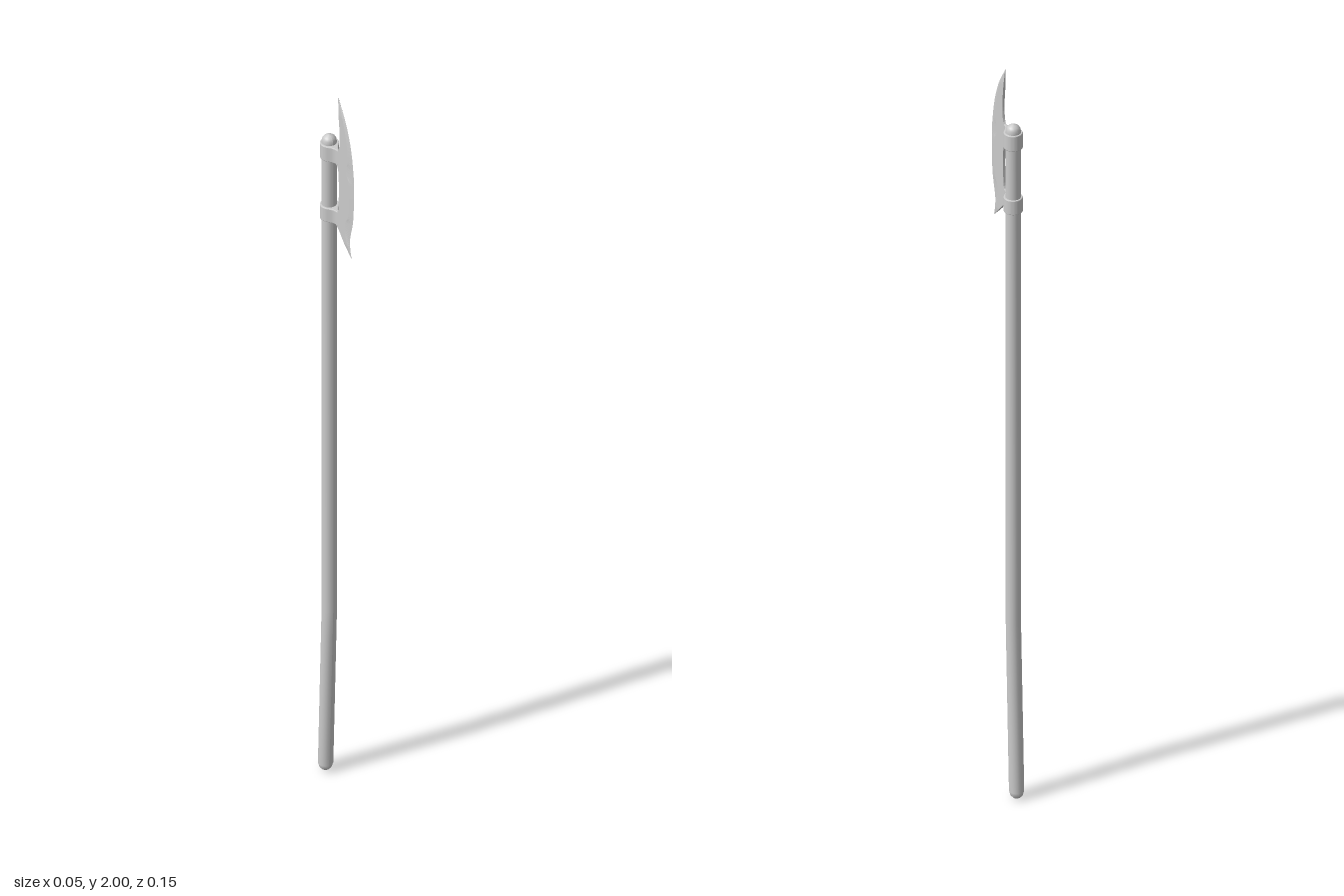
import * as THREE from 'three';

const AXIS_Z = -0.04; // centre line of the straight part of the shaft

function part(name, geometry, options = {}) {
  const mesh = new THREE.Mesh(geometry, new THREE.MeshStandardMaterial({ color: 0xcccccc, ...options }));
  mesh.name = name;
  return mesh;
}

// Round shaft with domed ends; the lowest stretch bends backwards
function createShaft() {
  const r = 0.0188;
  const profile = [
    [0, 0], [0.009, 0.002], [0.015, 0.008], [r, 0.02], [r, 0.15], [r, 0.3], [r, 0.4], [r, 0.48],
    [r, 1], [r, 1.847], [0.0175, 1.857], [0.014, 1.863], [0.008, 1.867], [0, 1.869],
  ].map(([x, y]) => new THREE.Vector2(x, y));
  const geometry = new THREE.LatheGeometry(profile, 20);
  const pos = geometry.attributes.position;
  for (let i = 0; i < pos.count; i++) {
    const bend = Math.max(0, (0.48 - pos.getY(i)) / 0.48);
    pos.setZ(i, pos.getZ(i) + AXIS_Z - 0.018 * bend);
  }
  geometry.computeVertexNormals();
  return part('shaft', geometry);
}

// Teardrop band round the shaft, pinched in front to hold the blade
function createCollar(name, bottom, height) {
  const bevel = 0.002, r = 0.0215, c = -AXIS_Z - 0.001;
  const shape = new THREE.Shape();
  // shape y runs towards the back
  shape.moveTo(0.0015, -0.002);
  shape.bezierCurveTo(0.003, 0.014, 0.012, 0.018, r * Math.cos(0.6), c - r * Math.sin(0.6));
  shape.absarc(0, c, r, -0.6, Math.PI + 0.6, false);
  shape.bezierCurveTo(-0.012, 0.018, -0.003, 0.014, -0.0015, -0.002);
  const geometry = new THREE.ExtrudeGeometry(shape, {
    depth: height - 2 * bevel, bevelSize: bevel, bevelThickness: bevel, bevelSegments: 2, curveSegments: 16,
  });
  geometry.rotateX(-Math.PI / 2);
  geometry.translate(0, bottom + bevel, 0);
  return part(name, geometry);
}

// Thin crescent lofted between the back edge (with two arms) and the cutting edge
function createBlade() {
  // back z, back y, edge z, edge y
  const rows = [
    [0.003, 2.0, 0.003, 2.0], [0.008, 1.955, 0.034, 1.955], [0.013, 1.91, 0.056, 1.905],
    [0.013, 1.87, 0.067, 1.865], [0.006, 1.847, 0.072, 1.835], [-0.022, 1.842, 0.075, 1.815],
    [-0.022, 1.808, 0.0765, 1.795], [0.003, 1.8, 0.077, 1.78], [0.009, 1.77, 0.077, 1.76],
    [0.009, 1.7, 0.0755, 1.71], [0.004, 1.668, 0.073, 1.68], [-0.022, 1.662, 0.069, 1.66],
    [-0.022, 1.632, 0.063, 1.638], [0.002, 1.624, 0.058, 1.615], [0.033, 1.595, 0.059, 1.594],
    [0.064, 1.566, 0.064, 1.566],
  ];
  const curve = (k) => new THREE.CatmullRomCurve3(
    rows.map((row) => new THREE.Vector3(0, row[k + 1], row[k])), false, 'centripetal');
  const back = curve(0), edge = curve(2);
  const steps = (rows.length - 1) * 4, half = 0.003;
  const section = [[half, 0], [half, 0.7], [0, 1], [-half, 0.7], [-half, 0]];
  const points = [], index = [], n = section.length;
  for (let i = 0; i <= steps; i++) {
    const a = back.getPoint(i / steps), b = edge.getPoint(i / steps);
    const taper = Math.min(1, 0.2 + Math.min(i, steps - i) / 5);
    for (const [x, f] of section) {
      const p = a.clone().lerp(b, f);
      points.push(x * taper, p.y, p.z);
    }
    if (i === steps) break;
    for (let k = 0; k < n; k++) {
      const p = i * n + k, q = i * n + (k + 1) % n;
      index.push(p, q, q + n, p, q + n, p + n);
    }
  }
  const geometry = new THREE.BufferGeometry();
  geometry.setAttribute('position', new THREE.Float32BufferAttribute(points, 3));
  geometry.setIndex(index);
  geometry.computeVertexNormals();
  return part('blade', geometry, { flatShading: true, side: THREE.DoubleSide });
}

export function createModel() {
  const model = new THREE.Group();
  model.name = 'longAxe';
  model.add(
    createShaft(),
    createCollar('upperCollar', 1.804, 0.043),
    createCollar('lowerCollar', 1.627, 0.04),
    createBlade(),
  );
  return model;
}
